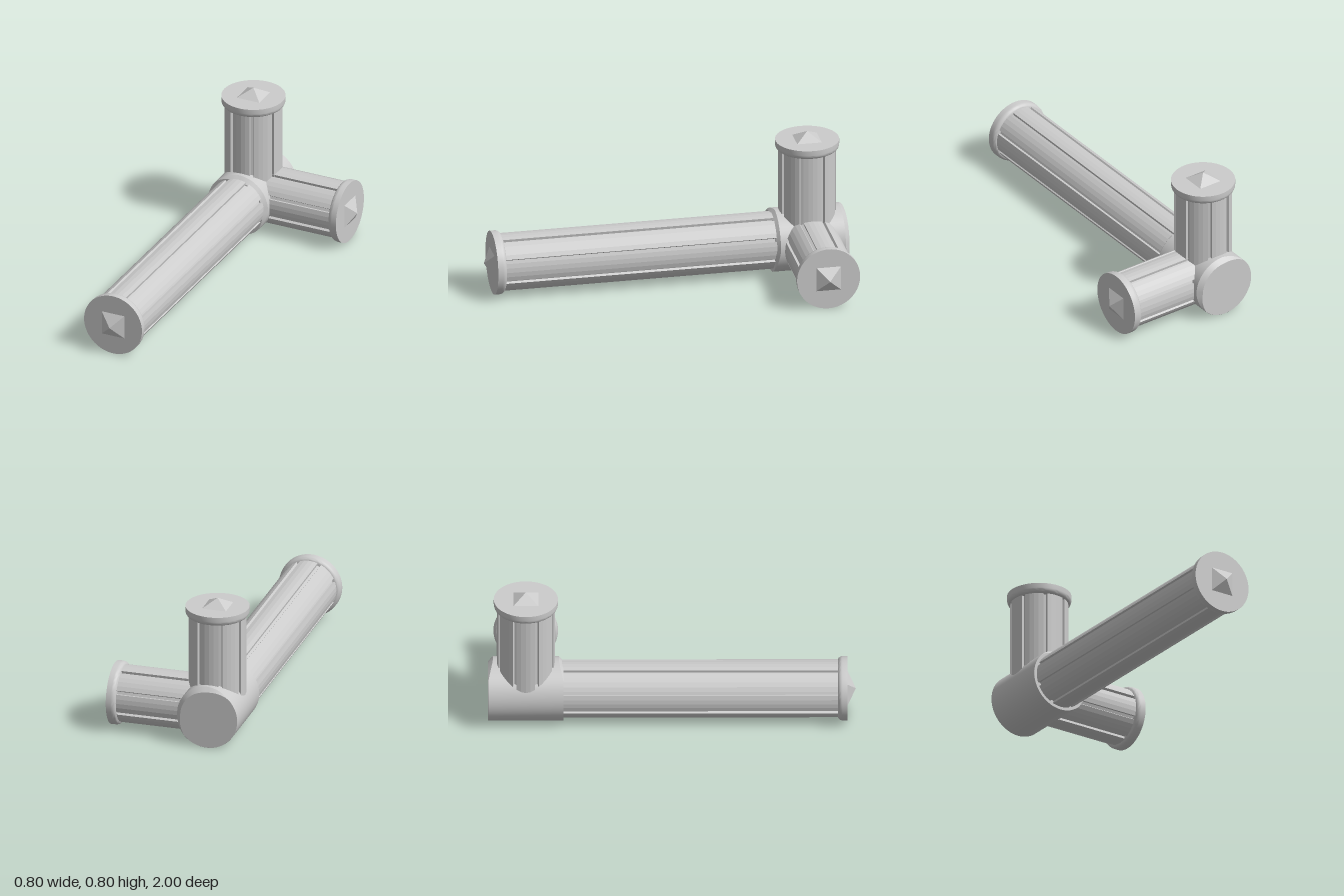
import * as THREE from 'three';
import { toCreasedNormals } from 'three/addons/utils/BufferGeometryUtils.js';

const CENTER = new THREE.Vector3(-0.228, 0.177, -0.795);
const R = 0.175;       // cap and hub radius
const BAR = 0.158;     // fluted bar radius
const material = new THREE.MeshStandardMaterial({ color: 0xcccccc });

function addMesh(parent, name, geometry) {
  const mesh = new THREE.Mesh(geometry, material);
  mesh.name = name;
  parent.add(mesh);
  return mesh;
}

function lathe(points, segments = 64) {
  return new THREE.LatheGeometry(points.map(([x, y]) => new THREE.Vector2(x, y)), segments);
}

// Round section with eight narrow lengthwise grooves
function flutedShape() {
  const points = [];
  const add = (deg, radius) => {
    const a = THREE.MathUtils.degToRad(deg);
    points.push(new THREE.Vector2(radius * Math.cos(a), radius * Math.sin(a)));
  };
  for (let k = 0; k < 8; k++) {
    const mid = k * 45;
    for (let j = 0; j <= 4; j++) add(mid - 18.5 + j * 9.25, BAR);
    add(mid + 19.5, BAR - 0.014);
    add(mid + 25.5, BAR - 0.014);
  }
  return new THREE.Shape(points);
}

// Arm along local +y: fluted bar, flanged cap, pyramid point
function makeArm(name, length) {
  const arm = new THREE.Group();
  arm.name = name;
  const bar = new THREE.ExtrudeGeometry(flutedShape(), { depth: length - 0.03, bevelEnabled: false });
  bar.rotateX(-Math.PI / 2);
  addMesh(arm, name + 'Bar', bar);

  const bottom = length - 0.053;
  const profile = [[0, bottom], [R - 0.022, bottom]];
  for (let i = 1; i <= 5; i++) {
    const a = (i / 5) * Math.PI / 2;
    profile.push([R - 0.022 + 0.022 * Math.sin(a), bottom + 0.026 * (1 - Math.cos(a))]);
  }
  profile.push([R, length], [0, length]);
  addMesh(arm, name + 'Cap', toCreasedNormals(lathe(profile), 0.7));

  const point = new THREE.ConeGeometry(0.068 * Math.SQRT2, 0.045, 4).toNonIndexed();
  point.rotateY(Math.PI / 4);
  point.computeVertexNormals();
  addMesh(arm, name + 'Point', point).position.y = length + 0.0225;
  return arm;
}

// Hub drum along z, its rims eased only on the side of the two short arms
function makeHub() {
  const half = 0.205;
  const ease = 0.025;
  const geometry = lathe([
    [0, -half], [R - ease, -half], [R, -half + ease],
    [R, half - ease], [R - ease, half], [0, half],
  ]);
  geometry.rotateX(Math.PI / 2);
  const p = geometry.attributes.position;
  for (let i = 0; i < p.count; i++) {
    const x = p.getX(i), y = p.getY(i), z = p.getZ(i);
    const radius = Math.hypot(x, y);
    if (radius < 0.01) continue;
    const facing = (x + y) / (radius * Math.SQRT2);
    const amount = THREE.MathUtils.clamp(facing * 1.4, 0.03, 1);
    const newRadius = R - (R - radius) * amount;
    const newZ = Math.sign(z) * (half - (half - Math.abs(z)) * amount);
    p.setXYZ(i, x * newRadius / radius, y * newRadius / radius, newZ);
  }
  return toCreasedNormals(geometry, 0.6);
}

export function createModel() {
  const model = new THREE.Group();
  model.name = 'threeArmCorner';
  const body = new THREE.Group();
  body.name = 'body';
  body.position.copy(CENTER);
  model.add(body);

  addMesh(body, 'hub', makeHub());
  body.add(makeArm('upperArm', 0.583));

  const sideArm = makeArm('sideArm', 0.583);
  sideArm.rotation.z = -Math.PI / 2;
  body.add(sideArm);

  const longArm = makeArm('longArm', 1.75);
  longArm.rotation.x = Math.PI / 2;
  body.add(longArm);

  return model;
}
